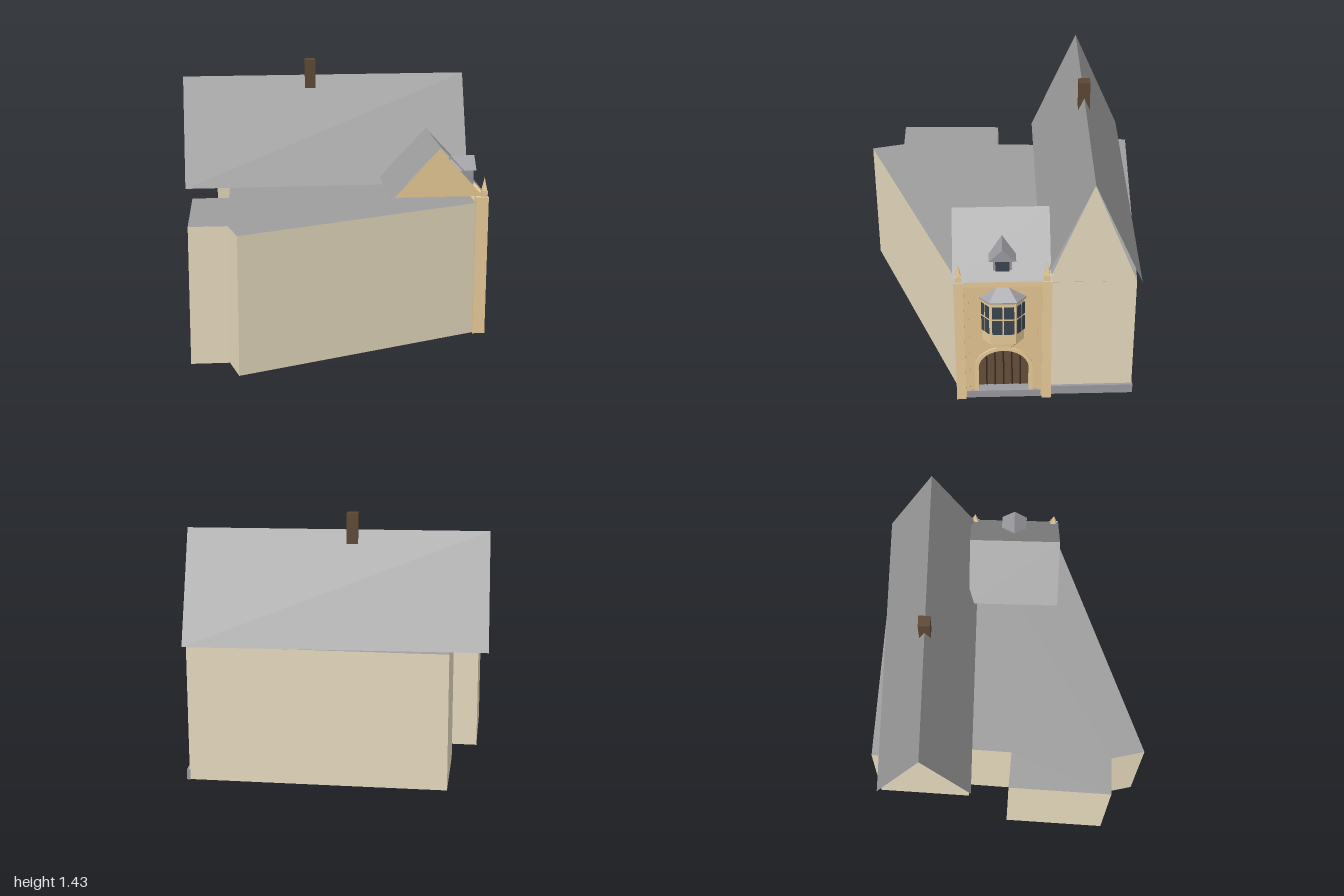
import * as THREE from 'three';
import { ConvexGeometry } from 'three/addons/geometries/ConvexGeometry.js';

const mat = (name, color, side = THREE.FrontSide) => {
  const m = new THREE.MeshStandardMaterial({ color, side });
  m.name = name;
  return m;
};

export function createModel() {
  const M = {
    plaster: mat('cream plaster', 0xe6dabe, THREE.DoubleSide),
    stone: mat('tan stone', 0xe2c492, THREE.DoubleSide),
    trim: mat('light stone trim', 0xe9cc9a),
    roof: mat('grey slate', 0x9d9d9e, THREE.DoubleSide),
    plinth: mat('blue grey stone', 0x9a9a9f),
    glass: mat('dark glass', 0x3a444f),
    door: mat('brown door', 0x664f3b),
    gap: mat('dark plank gap', 0x33291f),
    brick: mat('brown chimney', 0x5d4632),
  };
  const model = new THREE.Group();
  model.name = 'building';
  // Everything in this group is aligned with the street facade
  const street = new THREE.Group();
  street.name = 'streetAlignedParts';
  street.rotation.y = 0.7057;
  model.add(street);

  const add = (parent, name, geo, material) => {
    const m = new THREE.Mesh(geo, material);
    m.name = name;
    parent.add(m);
    return m;
  };
  // Box given by its minimum and maximum on each axis
  const box = (parent, name, material, x0, x1, y0, y1, z0, z1) => {
    const m = add(parent, name, new THREE.BoxGeometry(x1 - x0, y1 - y0, z1 - z0), material);
    m.position.set((x0 + x1) / 2, (y0 + y1) / 2, (z0 + z1) / 2);
    return m;
  };
  const poly = (pts) => new THREE.Shape(pts.map((p) => new THREE.Vector2(p[0], p[1])));
  const flat = (pts) => new THREE.ShapeGeometry(poly(pts));
  const extrude = (shape, depth) =>
    new THREE.ExtrudeGeometry(shape, { depth, bevelEnabled: false, curveSegments: 20 });
  // Upright prism over a plan outline of [x, z] points
  const planPrism = (pts, y0, y1) =>
    extrude(poly(pts.map(([x, z]) => [x, -z])), y1 - y0).rotateX(-Math.PI / 2).translate(0, y0, 0);
  // Open sheet: a run of [x, y] points swept from z0 to z1
  const sheet = (pts, z0, z1) => {
    const pos = [];
    for (let i = 0; i + 1 < pts.length; i++) {
      const [a, b] = [pts[i], pts[i + 1]];
      pos.push(...a, z1, ...b, z0, ...a, z0, ...a, z1, ...b, z1, ...b, z0);
    }
    const g = new THREE.BufferGeometry();
    g.setAttribute('position', new THREE.Float32BufferAttribute(pos, 3));
    g.computeVertexNormals();
    return g;
  };

  // Irregular main body, open below and behind the entrance, with a flat roof;
  // the outline starts and ends at the two sides of the entrance
  const plan = [
    [0.624, 0.588], [0.97, 0.29], [0.12, -0.81], [-0.295, -0.485], [-0.24, -0.44],
    [-0.44, -0.285], [-0.56, -0.445], [-1.0, -0.1], [-0.87, 0.055], [-0.98, 0.205],
    [0.277, 0.88],
  ].map(([x, z]) => [x, -z]);
  add(model, 'bodyWalls', sheet(plan, 0, 0.744).rotateX(-Math.PI / 2), M.plaster);
  add(model, 'flatRoof', flat(plan).rotateX(-Math.PI / 2).translate(0, 0.744, 0), M.roof);

  // Long steep roof with inset gables, chimney and plinth
  const slopes = [[0.577, 0.745], [0.322, 1.34], [0.066, 0.745]];
  add(street, 'mainRoof', sheet(slopes, -0.742, 0.868), M.roof);
  const gable = [[0.095, 0.743], [0.55, 0.743], [0.322, 1.325]];
  add(street, 'frontGable', flat(gable).translate(0, 0, 0.85), M.plaster);
  add(street, 'backGable', flat(gable).rotateY(Math.PI).translate(0.644, 0, -0.727), M.plaster);
  box(street, 'chimney', M.brick, 0.291, 0.353, 1.25, 1.43, -0.047, 0.013);
  box(street, 'gablePlinth', M.plinth, 0.115, 0.555, 0, 0.055, 0.846, 0.865);

  // Cross roof above the entrance, drawn along its own ridge and turned
  const crossSlopes = [[-0.361, 0.78], [-0.625, 1.06], [-0.889, 0.78]];
  add(street, 'entranceRoof',
    sheet(crossSlopes, 0, 0.5).rotateY(Math.PI / 2).translate(-0.39, 0, 0), M.roof);
  const crossGable = flat([[-0.865, 0.78], [-0.385, 0.78], [-0.625, 1.047]]);
  add(street, 'entranceGable', crossGable.rotateY(-Math.PI / 2).scale(1, 1, -1).translate(-0.358, 0, 0), M.stone);

  // Entrance wall panel with a deep arched opening
  const cx = -0.136;
  const arch = (path, r, top) => {
    path.moveTo(cx + r, 0.04);
    path.lineTo(cx + r, 0.2);
    path.absellipse(cx, 0.2, r, top - 0.2, 0, Math.PI, false, 0);
    path.lineTo(cx - r, 0.04);
    path.closePath();
    return path;
  };
  const panel = poly([[-0.36, 0], [0.095, 0], [0.095, 0.75], [-0.36, 0.75]]);
  panel.holes.push(arch(new THREE.Path(), 0.132, 0.317));
  add(street, 'entranceWall', extrude(panel, 0.046).translate(0, 0, 0.822), M.stone);
  const ring = arch(new THREE.Shape(), 0.154, 0.338);
  ring.holes.push(arch(new THREE.Path(), 0.132, 0.317));
  add(street, 'doorSurround', extrude(ring, 0.026).translate(0, 0, 0.85), M.trim);
  add(street, 'door', extrude(arch(new THREE.Shape(), 0.134, 0.319), 0.004).translate(0, 0, 0.824), M.door);
  for (const d of [-0.09, -0.045, 0, 0.045, 0.09]) {
    const top = 0.195 + 0.117 * Math.sqrt(1 - (d / 0.132) ** 2);
    box(street, 'plankGap', M.gap, cx + d - 0.004, cx + d + 0.004, 0.045, top, 0.827, 0.831);
  }
  box(street, 'doorStep', M.plinth, -0.335, 0.06, 0, 0.045, 0.82, 0.88);

  // Cornice, corner piers and pinnacles
  box(street, 'cornice', M.trim, -0.385, 0.115, 0.742, 0.779, 0.84, 0.882);
  for (const s of [-1, 1]) {
    const px = cx + s * 0.226;
    box(street, 'cornerPier', M.trim, px - 0.025, px + 0.025, 0, 0.779, 0.825, 0.893);
    const ix = cx + s * 0.189;
    box(street, 'innerPier', M.stone, ix - 0.012, ix + 0.012, 0, 0.745, 0.85, 0.878);
    box(street, 'pinnacleBase', M.trim, px - 0.016, px + 0.016, 0.779, 0.812, 0.856, 0.888);
    const tip = new THREE.ConeGeometry(0.02, 0.075, 4).toNonIndexed();
    tip.computeVertexNormals();
    add(street, 'pinnacle', tip.rotateY(Math.PI / 4), M.trim).position.set(px, 0.848, 0.872);
  }

  // Three-sided bay window on stepped corbels
  const bayPlan = (k) =>
    [[-0.122, 0], [-0.066, 0.062], [0.066, 0.062], [0.122, 0]].map(([x, z]) => [cx + x * k, 0.853 + z * k]);
  add(street, 'bayWalls', planPrism(bayPlan(1), 0.395, 0.67), M.trim);
  add(street, 'bayCorbelUpper', planPrism(bayPlan(0.8), 0.37, 0.395), M.stone);
  add(street, 'bayCorbelLower', planPrism(bayPlan(0.58), 0.345, 0.37), M.trim);
  const eave = bayPlan(1.1).flatMap(([x, z]) =>
    [new THREE.Vector3(x, 0.662, z), new THREE.Vector3(x, 0.67, z)]);
  const peak = [-0.02, 0.02].map((d) => new THREE.Vector3(cx + d, 0.745, 0.855));
  add(street, 'bayRoof', new ConvexGeometry([...eave, ...peak]), M.plinth);
  const c = bayPlan(1);
  for (let i = 0; i < 3; i++) {
    const [ax, az] = c[i], [bx, bz] = c[i + 1];
    const side = new THREE.Group();
    side.name = 'bayWindow';
    side.position.set((ax + bx) / 2, 0, (az + bz) / 2);
    side.rotation.y = Math.atan2(az - bz, bx - ax);
    street.add(side);
    const pane = Math.hypot(bx - ax, bz - az) / 2 - 0.013;
    for (const s of [-1, 1]) {
      const x = s * (pane / 2 + 0.004);
      box(side, 'lowerPane', M.glass, x - pane / 2, x + pane / 2, 0.46, 0.55, -0.002, 0.003);
      box(side, 'upperPane', M.glass, x - pane / 2, x + pane / 2, 0.562, 0.638, -0.002, 0.003);
    }
  }

  // Small dormer in the entrance roof
  box(street, 'dormerWalls', M.plinth, cx - 0.048, cx + 0.048, 0.8, 0.89, 0.77, 0.848);
  const dormer = extrude(poly([[cx - 0.07, 0.884], [cx + 0.07, 0.884], [cx, 0.955]]), 0.137);
  add(street, 'dormerRoof', dormer.translate(0, 0, 0.722), M.plinth);
  box(street, 'dormerWindow', M.glass, cx - 0.036, cx + 0.036, 0.812, 0.88, 0.846, 0.852);

  return model;
}
